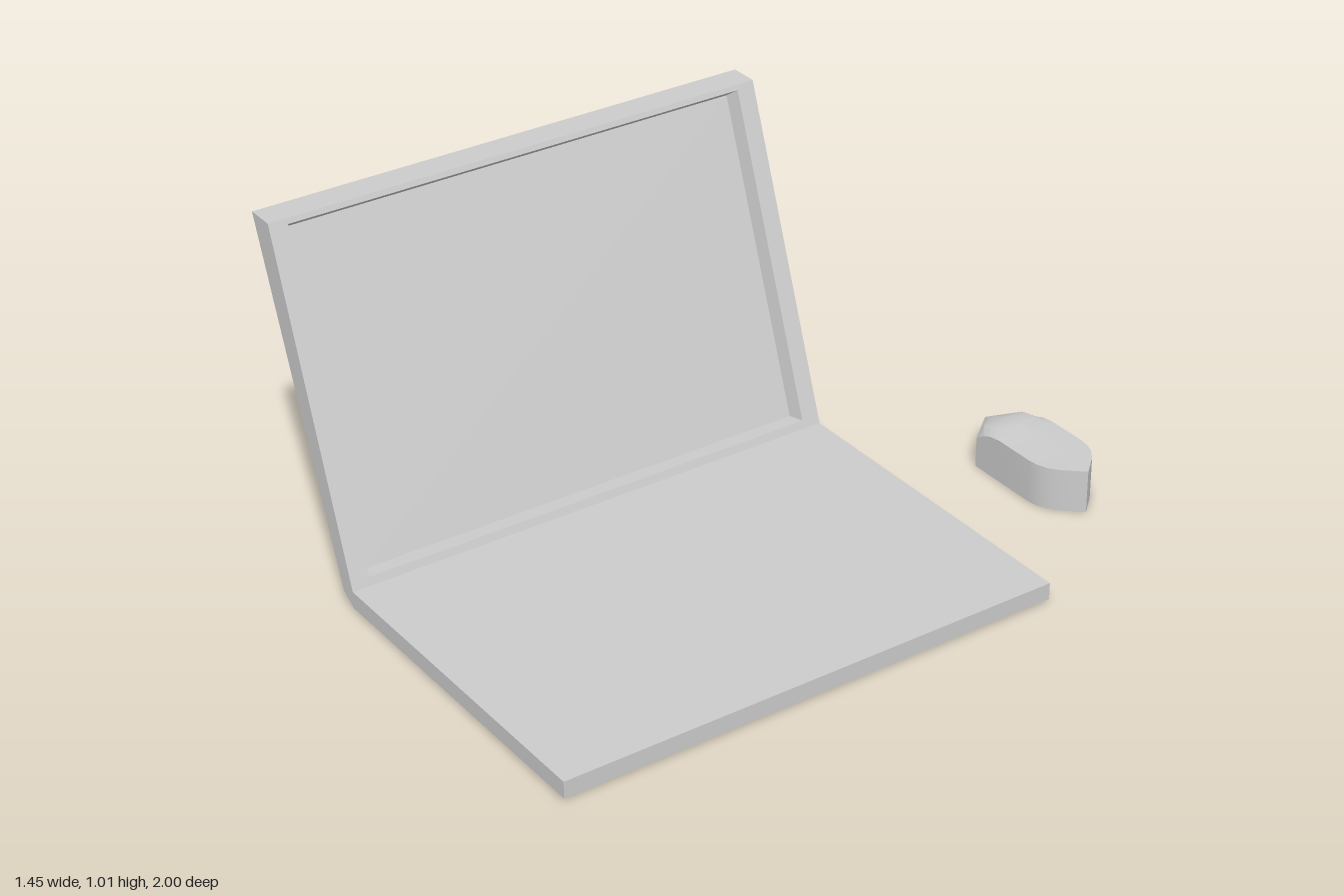
import * as THREE from 'three';
import { toCreasedNormals } from 'three/addons/utils/BufferGeometryUtils.js';

// Flat polygons (fans of corners, counter-clockwise from outside) to a geometry
function polygons(faces) {
  const pos = [];
  for (const f of faces)
    for (let i = 1; i < f.length - 1; i++) pos.push(...f[0], ...f[i], ...f[i + 1]);
  const g = new THREE.BufferGeometry();
  g.setAttribute('position', new THREE.Float32BufferAttribute(pos, 3));
  g.computeVertexNormals();
  return g;
}

// Quads joining two closed loops of equal length
function bridge(a, b) {
  return a.map((p, i) => {
    const j = (i + 1) % a.length;
    return [p, a[j], b[j], b[i]];
  });
}

export function createModel() {
  const group = new THREE.Group();
  const grey = new THREE.MeshStandardMaterial({ color: 0xcccccc });
  grey.name = 'light grey';
  const add = (name, geometry, parent) => {
    const mesh = new THREE.Mesh(geometry, grey);
    mesh.name = name;
    parent.add(mesh);
  };

  // Laptop: side profile swept in z, leaving the inner lid face open for the bezel
  const laptop = new THREE.Group();
  laptop.name = 'laptop';
  const back = -0.53, front = 1.0;
  const profile = [[-0.725, 1.01], [-0.64, 1.01], [-0.305, 0.06], [0.72, 0.06],
    [0.72, 0.01], [-0.305, 0.01], [-0.355, 0.04]];
  const at = (i, z) => [...profile[i], z];
  const shell = [];
  profile.forEach((_, i) => {
    const j = (i + 1) % profile.length;
    if (i !== 1) shell.push([at(i, back), at(i, front), at(j, front), at(j, back)]);
  });
  for (const side of [[0, 1, 2, 6], [2, 3, 4, 5], [2, 5, 6]]) {
    shell.push(side.map(i => at(i, back)));
    shell.push([...side].reverse().map(i => at(i, front)));
  }
  add('laptopShell', polygons(shell), laptop);

  // Rectangle on the lid: s runs from hinge (0) to top edge (1), sunk by depth
  const lidLoop = (s0, s1, z0, z1, depth) =>
    [[s1, z0], [s1, z1], [s0, z1], [s0, z0]].map(([s, z]) =>
      [-0.305 - 0.335 * s - 0.943 * depth, 0.06 + 0.95 * s - 0.333 * depth, z]);
  const outer = lidLoop(0, 1, back, front, 0);
  const opening = lidLoop(0.024, 0.984, -0.475, 0.945, 0);
  const floor = lidLoop(0.037, 0.972, -0.462, 0.932, 0.042);
  add('screenBezel', polygons([...bridge(outer, opening), ...bridge(opening, floor)]), laptop);
  add('screen', polygons([floor]), laptop);
  group.add(laptop);

  // Mouse: cross-sections of [x, half width, edge height, centre height]
  const sections = [
    [-0.02, 0, 0.09, 0.09], [0.01, 0.036, 0.09, 0.108], [0.06, 0.095, 0.09, 0.128],
    [0.09, 0.095, 0.112, 0.133], [0.12, 0.095, 0.124, 0.135], [0.16, 0.095, 0.13, 0.131],
    [0.29, 0.095, 0.13, 0.13], [0.32, 0.091, 0.13, 0.13], [0.35, 0.079, 0.13, 0.13],
    [0.38, 0.056, 0.13, 0.13], [0.43, 0, 0.13, 0.13]];
  const mid = -0.905;
  const loops = sections.map(([x, w, edge, centre]) => {
    const inner = Math.max(0, w - 0.025);
    const shoulder = edge + (centre - edge) * 0.85;
    return [[x, edge, mid - w], [x, shoulder, mid - inner], [x, centre, mid],
      [x, shoulder, mid + inner], [x, edge, mid + w], [x, 0, mid + w], [x, 0, mid - w]];
  });
  const skin = [];
  for (let i = 0; i < loops.length - 1; i++) skin.push(...bridge(loops[i], loops[i + 1]));
  add('mouse', toCreasedNormals(polygons(skin), 0.55), group);

  return group;
}
